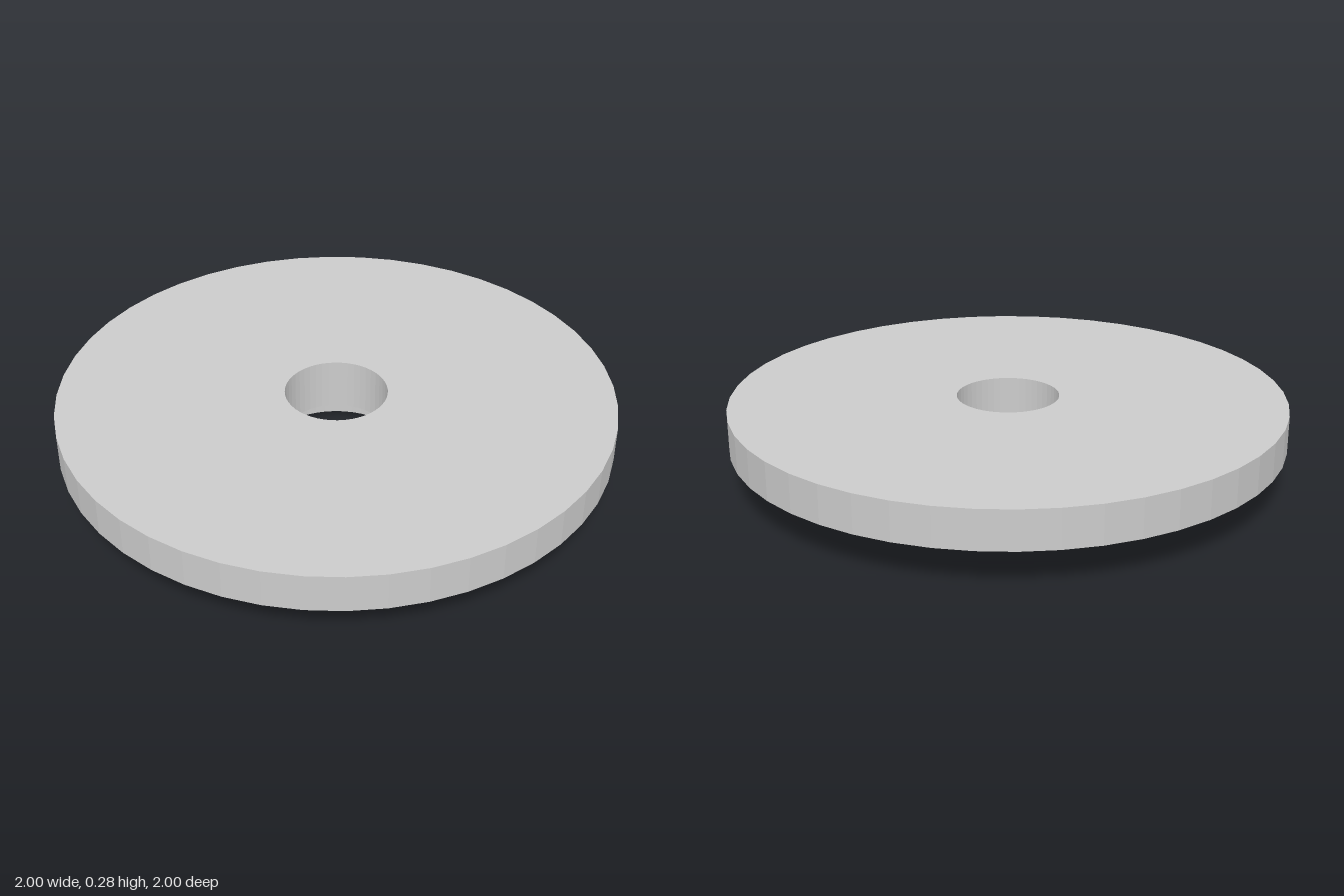
import * as THREE from 'three';

export function createModel() {
  const group = new THREE.Group();
  const material = new THREE.MeshStandardMaterial({ color: 0xcccccc, flatShading: true });

  // Closed cross-section [radius, height], running up the outside and down the bore
  const profile = [
    [0.27, 0],       // mouth of the counterbore
    [0.36, 0],       // flat bottom ring
    [1, 0.14],       // conical underside
    [1, 0.278],      // rim
    [0.185, 0.278],  // flat top face
    [0.185, 0.0875], // through hole
    [0.27, 0.0875],  // counterbore ledge
    [0.27, 0],       // counterbore wall
  ].map(([r, y]) => new THREE.Vector2(r, y));

  const disc = new THREE.Mesh(new THREE.LatheGeometry(profile, 48), material);
  disc.name = 'taperedDisc';
  group.add(disc);
  return group;
}
